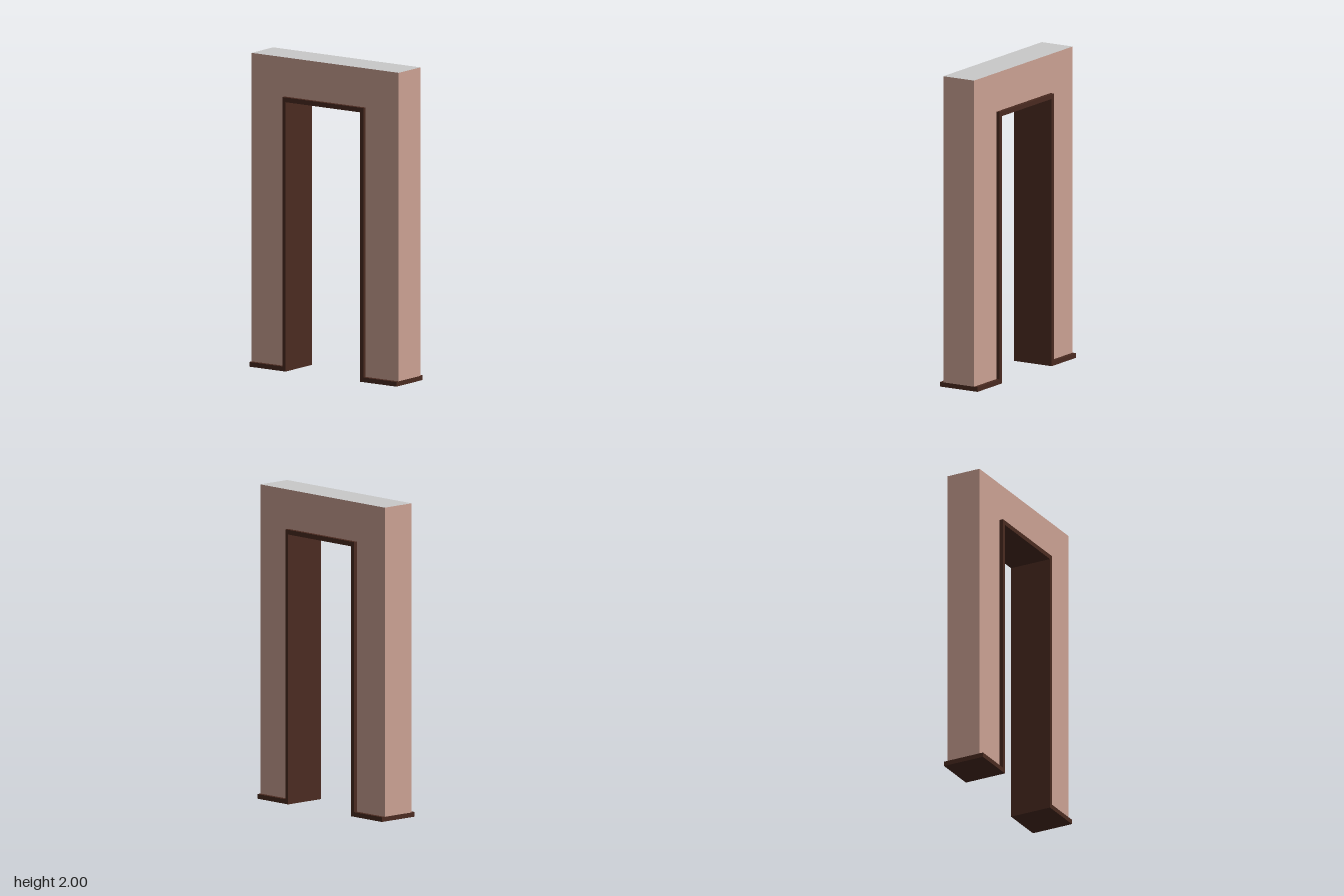
import * as THREE from 'three';

export function createModel() {
  const group = new THREE.Group();
  const material = (name, color) => {
    const m = new THREE.MeshStandardMaterial({ color });
    m.name = name;
    return m;
  };
  const plaster = material('plaster', 0xcba193);
  const capGrey = material('cap grey', 0xc9c9c9);
  const darkWood = material('dark wood', 0x4a2a20);

  const wallHalf = 0.115, trimHalf = 0.14, end = 0.572; // half thicknesses (x), half length (z)
  const outer = 0.315, inner = 0.29;                    // trim around the opening
  const trimTop = 1.75, innerTop = 1.72, foot = 0.03;

  const addBox = (name, mat, h, d, y, z) => {
    const mesh = new THREE.Mesh(new THREE.BoxGeometry(wallHalf * 2, h, d), mat);
    mesh.name = name;
    mesh.position.set(0, y, z);
    group.add(mesh);
  };

  // Wall: two posts and a lintel with a grey top face
  for (const s of [-1, 1]) {
    addBox(s > 0 ? 'frontPost' : 'backPost', plaster,
      trimTop - foot, end - outer, (trimTop + foot) / 2, s * (end + outer) / 2);
  }
  addBox('lintel', [plaster, plaster, capGrey, plaster, plaster, plaster],
    2 - trimTop, end * 2, (2 + trimTop) / 2, 0);

  // Trim: opening lining and skirting in one continuous profile
  const half = [[inner, innerTop], [inner, 0], [end, 0], [end, foot], [outer, foot], [outer, trimTop]];
  const mirrored = half.map(([x, y]) => [-x, y]).reverse();
  const profile = new THREE.Shape([...half, ...mirrored].map(([x, y]) => new THREE.Vector2(x, y)));
  const trimGeometry = new THREE.ExtrudeGeometry(profile, { depth: trimHalf * 2, bevelEnabled: false });
  trimGeometry.translate(0, 0, -trimHalf).rotateY(Math.PI / 2);
  const trim = new THREE.Mesh(trimGeometry, darkWood);
  trim.name = 'doorwayTrim';
  group.add(trim);

  return group;
}
